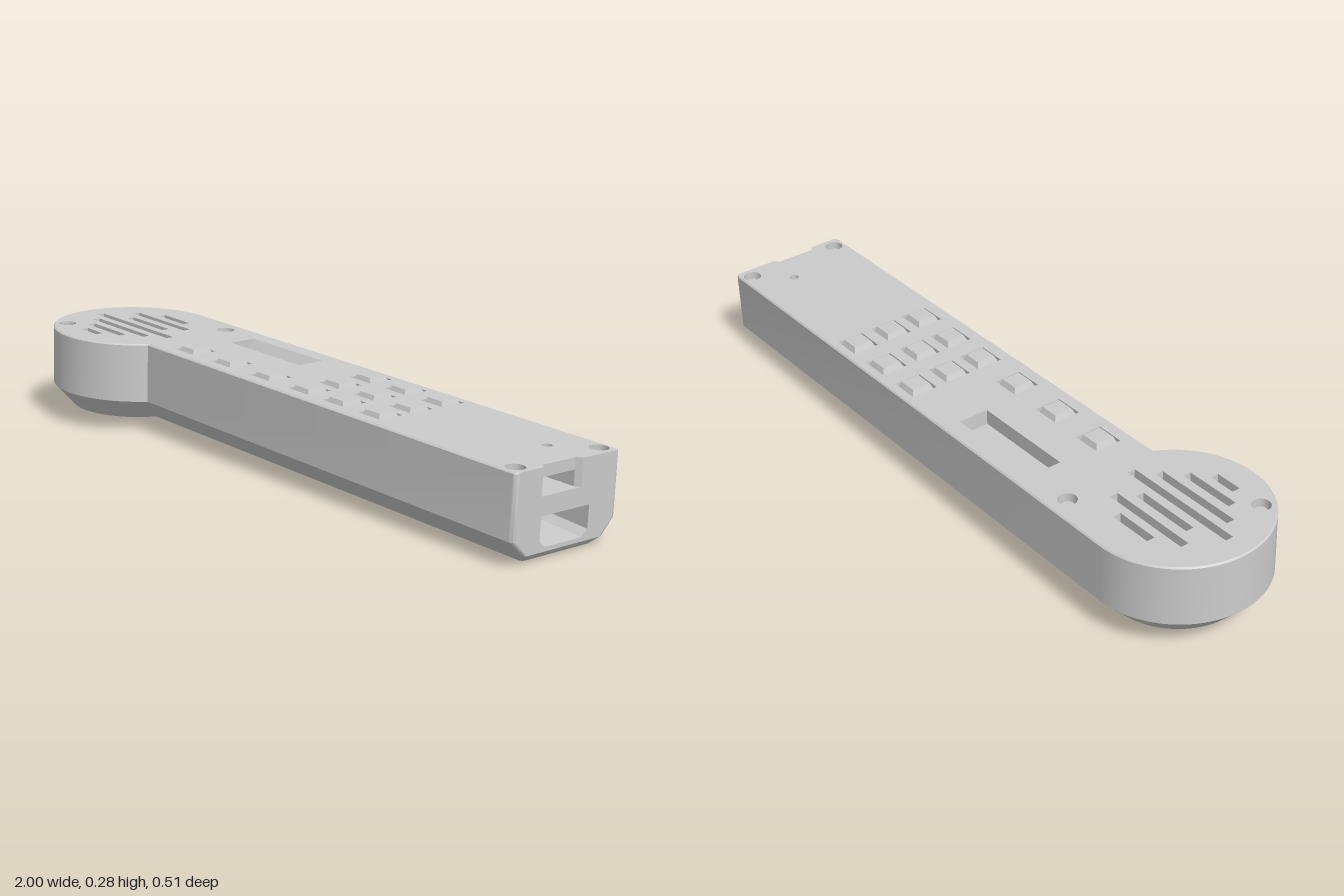
import * as THREE from 'three';
import { toCreasedNormals } from 'three/addons/utils/BufferGeometryUtils.js';

const H = 0.24;        // thickness of the handset
const PLATE = 0.03;    // thickness of the top plate
const DZ = 0.006;      // shift of the top details along z
const FRONT = 0.119, BACK = -0.249, CORNER = 0.012;

const grey = new THREE.MeshStandardMaterial({ color: 0xcccccc });

const shapeOf = (pts) => new THREE.Shape(pts.map(([x, y]) => new THREE.Vector2(x, y)));
const rect = (x0, x1, z0, z1) => [[x0, z0], [x1, z0], [x1, z1], [x0, z1]];

// Plan outline: round head and straight grip, inset on the sides and at the end
function outline(inset, endInset) {
  const pts = [];
  const arc = (cx, cz, r, a0, a1, n) => {
    for (let i = 0; i <= n; i++) {
      const a = a0 + (a1 - a0) * i / n;
      pts.push([cx + r * Math.cos(a), cz + r * Math.sin(a)]);
    }
  };
  const r = 0.253 - inset, front = FRONT - inset, back = BACK + inset, ex = 1 - endInset - CORNER;
  arc(-0.747, 0.004, r, Math.asin((front - 0.004) / r), Math.PI * 1.5, 64);
  arc(ex, back + CORNER, CORNER, -Math.PI / 2, 0, 3);
  arc(ex, front - CORNER, CORNER, 0, Math.PI / 2, 3);
  return pts;
}

// Skin between successive rings of points; skip leaves out single bands
function loft(rings, skip) {
  const pos = [], n = rings[0].length;
  for (let j = 0; j < rings.length - 1; j++) {
    for (let k = 0; k < n; k++) {
      if (skip(j, k, n)) continue;
      const m = (k + 1) % n;
      const a = rings[j][k], b = rings[j][m], c = rings[j + 1][m], d = rings[j + 1][k];
      pos.push(...a, ...d, ...b, ...b, ...d, ...c);
    }
  }
  const g = new THREE.BufferGeometry();
  g.setAttribute('position', new THREE.Float32BufferAttribute(pos, 3));
  return toCreasedNormals(g, 0.6);
}

// Levels of the shell: height, side inset, end inset
const levels = [[0, 0.06, 0.02], [0.02, 0.042, 0], [0.064, 0, 0], [H - 0.004, 0, 0], [H, 0.004, 0]];

export function createModel() {
  const model = new THREE.Group();
  model.name = 'handset';
  const add = (name, geometry, x = 0, y = 0, z = 0) => {
    const mesh = new THREE.Mesh(geometry, grey);
    mesh.name = name;
    mesh.position.set(x, y, z);
    model.add(mesh);
  };
  // Horizontal slab from a plan shape, growing downwards
  const slab = (shape, depth) =>
    new THREE.ExtrudeGeometry(shape, { depth, bevelEnabled: false, curveSegments: 20 }).rotateX(Math.PI / 2);
  // Section given as (z, y), turned to face +x
  const section = (pts) => shapeOf(pts.map(([z, y]) => [-z, y]));
  const facing = (shape) => new THREE.ShapeGeometry(shape).rotateY(Math.PI / 2);
  // Inward-facing recess through (z, y) profiles placed along x, closed at its inner end
  const pocket = (name, profiles, open) => {
    const rings = profiles.map(([x, pts]) => pts.map(([z, y]) => [x, y, z]));
    add(name, loft(rings, (j, k, n) => open && k === n - 1));
    add(name + 'Back', facing(section(profiles[0][1])), profiles[0][0]);
  };

  // Shell and underside; the end is left open above the first band
  const rings = levels.map(([y, i, e]) => outline(i, e).map(([x, z]) => [x, y, z]));
  add('shell', loft(rings, (j, k, n) => j > 0 && k === n - 5));
  add('underside', new THREE.ShapeGeometry(shapeOf(outline(0.06, 0.02))).rotateX(Math.PI / 2));

  // End face with the lower socket and the upper notch
  const jack = (lo, hi) => [
    [0.022, hi], [0.022, lo + 0.018], [0.002, lo], [-0.128, lo], [-0.148, lo + 0.018], [-0.148, hi],
  ];
  const notch = (inset, top) => [
    [0.025 - inset, top], [0.025 - inset, 0.165], [-0.115 + inset, 0.165], [-0.115 + inset, top],
  ];
  const sides = levels.slice(1);
  const endFace = section([
    ...sides.map(([y, i]) => [FRONT - CORNER - i, y]),
    ...notch(0, H),
    ...sides.reverse().map(([y, i]) => [BACK + CORNER + i, y]),
  ]);
  endFace.holes.push(section(jack(0.032, 0.114)));
  add('endFace', facing(endFace), 1);
  pocket('lowerSocket', [[0.84, jack(0.04, 0.107)], [1, jack(0.032, 0.114)]], false);
  pocket('upperSocket', [[0.88, notch(0.012, H - PLATE)], [0.985, notch(0.012, H)], [1, notch(0, H)]], true);

  // Plan of the top plate, notched at the end
  const topShape = () => {
    const pts = outline(0.004, 0);
    pts.splice(pts.length - 4, 0, [1, -0.115], [0.985, -0.103], [0.985, 0.013], [1, 0.025]);
    return shapeOf(pts);
  };
  const plate = topShape();
  const cutRect = (x0, x1, z0, z1) => plate.holes.push(shapeOf(rect(x0, x1, z0 + DZ, z1 + DZ)));
  const cutRound = (x, z, r) => {
    const hole = new THREE.Path();
    hole.absarc(x, z + DZ, r, 0, Math.PI * 2, true);
    plate.holes.push(hole);
  };

  // Earpiece slots: x from, x to, z
  const slots = [
    [-0.81, -0.68, -0.143], [-0.88, -0.61, -0.094], [-0.84, -0.65, -0.042], [-0.93, -0.557, 0.008],
    [-0.88, -0.61, 0.058], [-0.83, -0.66, 0.109], [-0.79, -0.71, 0.159],
  ];
  for (const [x0, x1, z] of slots) cutRect(x0, x1, z - 0.012, z + 0.012);

  // Display window with a sloping back wall
  const [wx0, wx1, wz0, wz1] = [-0.41, -0.09, -0.2 + DZ, -0.11 + DZ];
  plate.holes.push(shapeOf(rect(wx0, wx1, wz0, wz1)));
  const recess = [[wz1, H], [wz1, H - 0.045], [wz0 + 0.035, H - 0.045], [wz0, H]];
  pocket('displayRecess', [[wx0, recess], [wx1, recess]], true);
  add('displayRecessEnd', new THREE.ShapeGeometry(shapeOf(recess)).rotateY(-Math.PI / 2), wx1);

  // Keys in square openings
  const columns = [0.135, 0.28, 0.425];
  const rows = [[-0.188, columns], [-0.074, columns], [0.035, [-0.39, -0.215, -0.035, ...columns]]];
  const keyGeometry = toCreasedNormals(
    new THREE.CylinderGeometry(0.055 / Math.SQRT2, 0.08 / Math.SQRT2, 0.028, 4).rotateY(Math.PI / 4), 0.3);
  for (const [z, xs] of rows) {
    for (const x of xs) {
      cutRect(x - 0.043, x + 0.043, z - 0.04, z + 0.04);
      add('key', keyGeometry, x, H - 0.004, z + DZ);
      add('keyBase', new THREE.BoxGeometry(0.08, 0.016, 0.075), x, H - 0.026, z + DZ);
    }
  }

  // Screw holes and microphone hole
  for (const [x, z] of [[-0.55, -0.197], [-0.877, 0.165], [0.96, -0.221], [0.96, 0.075]]) {
    cutRound(x, z, 0.026);
    add('screw', new THREE.CylinderGeometry(0.016, 0.016, 0.014, 24), x, H - PLATE + 0.006, z + DZ);
  }
  cutRound(0.873, -0.125, 0.014);
  add('topPlate', slab(plate, PLATE), 0, H);

  // Floor closing the openings below the plate
  const floor = topShape();
  floor.holes.push(shapeOf(rect(wx0, wx1, wz0, wz1)));
  add('innerFloor', slab(floor, 0.004), 0, H - PLATE + 0.002);

  // The handset rests with a slight tilt
  model.rotation.set(-0.025, 0, -0.017);
  model.position.y = 0.021;
  const root = new THREE.Group();
  root.name = 'telephoneHandset';
  root.add(model);
  return root;
}
